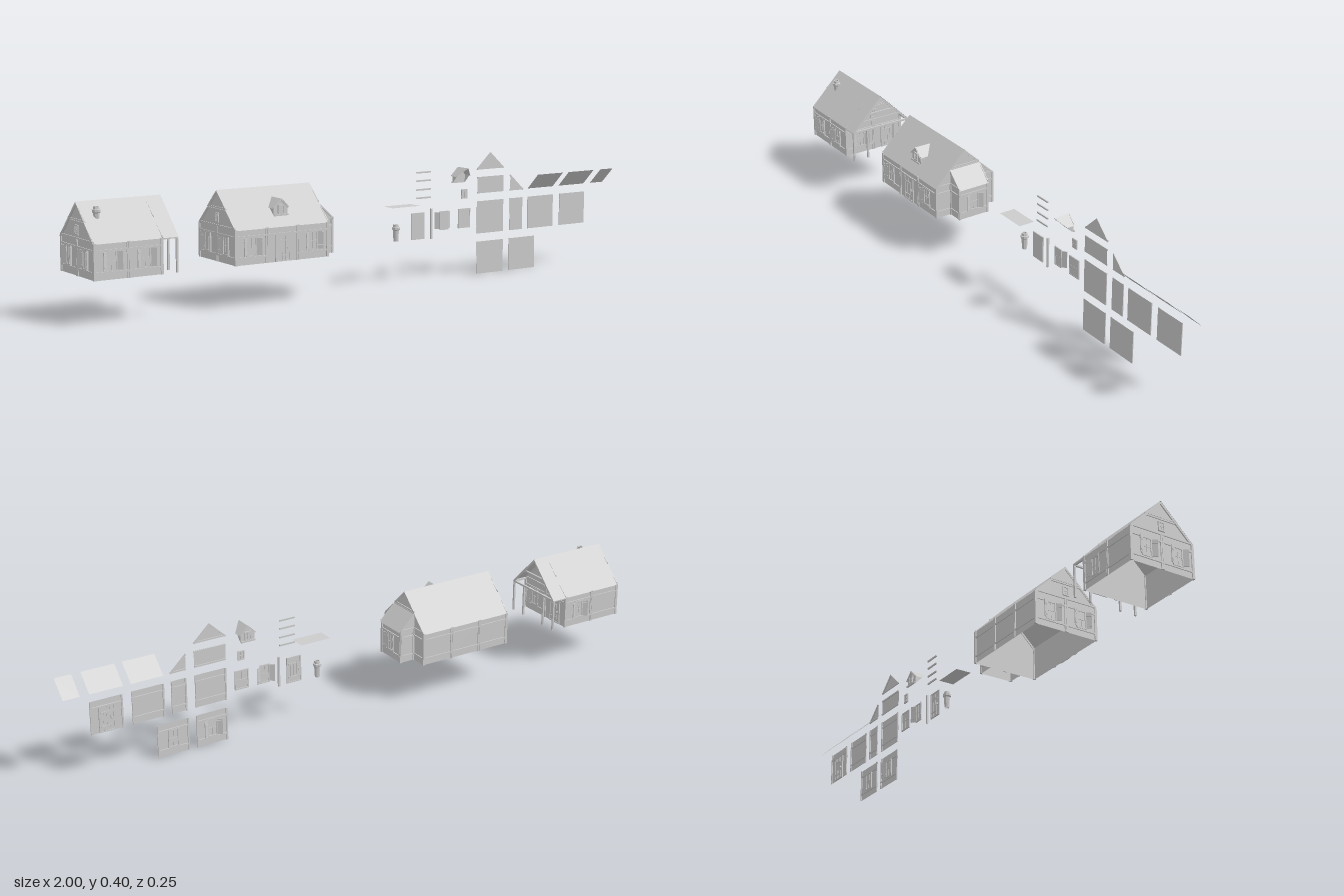
import * as THREE from 'three';

const mat = new THREE.MeshStandardMaterial({ color: 0xcccccc, side: THREE.DoubleSide, flatShading: true });
const W = 0.109, H = 0.108, HALF = W / 2, BASE = 0.137;

function mesh(geo, name, x = 0, y = 0, z = 0) {
  const m = new THREE.Mesh(geo, mat);
  m.name = name;
  m.position.set(x, y, z);
  return m;
}
const box = (name, w, h, d, x, y, z) => mesh(new THREE.BoxGeometry(w, h, d), name, x, y, z);

function group(name, ...parts) {
  const g = new THREE.Group();
  g.name = name;
  if (parts.length) g.add(...parts);
  return g;
}

function put(parent, obj, x, y, z, ry = 0) {
  obj.position.set(x, y, z);
  obj.rotation.y = ry;
  parent.add(obj);
  return obj;
}

// Flat outline panel in the xy plane
function panel(name, pts, z = 0) {
  const shape = new THREE.Shape(pts.map(p => new THREE.Vector2(p[0], p[1])));
  return mesh(new THREE.ShapeGeometry(shape), name, 0, 0, z);
}

// Flat four-cornered sheet
function sheet(name, a, b, c, d) {
  const g = new THREE.BufferGeometry();
  g.setAttribute('position', new THREE.Float32BufferAttribute([...a, ...b, ...c, ...a, ...c, ...d], 3));
  g.computeVertexNormals();
  return mesh(g, name);
}

// Beam between two points in the xy plane
function beam(name, x1, y1, x2, y2, z = 0.0015, t = 0.005, d = 0.003) {
  const b = box(name, Math.hypot(x2 - x1, y2 - y1), t, d, (x1 + x2) / 2, (y1 + y2) / 2, z);
  b.rotation.z = Math.atan2(y2 - y1, x2 - x1);
  return b;
}

// Rectangular border with its bottom at y
function frame(name, w, h, y, t = 0.004, d = 0.004) {
  const g = group(name);
  for (const s of [-1, 1]) {
    g.add(box(name, t, h, d, s * (w - t) / 2, y + h / 2, d / 2));
    g.add(box(name, w, t, d, 0, y + h / 2 + s * (h - t) / 2, d / 2));
  }
  return g;
}

// Window with glazing bars and optional open shutters
function windowUnit(w, h, y, shutters) {
  const g = group('window', frame('windowFrame', w, h, y));
  g.add(box('windowPane', w, h, 0.001, 0, y + h / 2, 0.001));
  g.add(box('glazingBar', 0.002, h, 0.003, 0, y + h / 2, 0.0015));
  g.add(box('glazingBar', w, 0.002, 0.003, 0, y + h / 2, 0.0015));
  if (shutters) for (const s of [-1, 1]) {
    const hinge = put(g, group('shutter'), s * w / 2, y + h / 2, 0.003, -s * 0.6);
    hinge.add(box('shutterBoard', w / 2, h * 0.9, 0.002, s * w / 4, 0, 0));
    for (const k of [-1, 1]) hinge.add(box('shutterBatten', w / 2, 0.004, 0.003, s * w / 4, k * h * 0.28, 0.0005));
  }
  return g;
}

// Plank door in a frame
function doorUnit() {
  const g = group('door', frame('doorFrame', 0.052, 0.087, 0.001));
  g.add(box('doorBoard', 0.044, 0.083, 0.002, 0, 0.043, 0.001));
  for (const x of [-0.011, 0, 0.011]) g.add(box('plankJoint', 0.001, 0.08, 0.003, x, 0.042, 0.0015));
  for (const y of [0.02, 0.065]) g.add(box('doorHinge', 0.034, 0.004, 0.004, -0.004, y, 0.002));
  g.add(box('doorHandle', 0.003, 0.006, 0.007, 0.016, 0.042, 0.0035));
  return g;
}

// Timber-framed wall tile facing +z
function wall(kind = 'plain', w = W, h = H) {
  const g = group('wallTile', panel('plaster', [[-w / 2, 0], [w / 2, 0], [w / 2, h], [-w / 2, h]]));
  for (const s of [-1, 1]) g.add(beam('wallStud', s * (w / 2 - 0.003), 0, s * (w / 2 - 0.003), h));
  g.add(beam('topRail', -w / 2, h - 0.022, w / 2, h - 0.022));
  if (kind !== 'door') g.add(beam('bottomRail', -w / 2, 0.022, w / 2, 0.022));
  if (kind === 'window') g.add(windowUnit(0.034, 0.06, 0.025, true));
  if (kind === 'smallWindow') g.add(windowUnit(0.036, 0.06, 0.025, false));
  if (kind === 'door') g.add(doorUnit());
  return g;
}

const halfWall = (w = W) => group('halfHeightWall',
  panel('plaster', [[-w / 2, 0], [w / 2, 0], [w / 2, HALF], [-w / 2, HALF]]),
  beam('bottomRail', -w / 2, 0.003, w / 2, 0.003), beam('topRail', -w / 2, HALF - 0.003, w / 2, HALF - 0.003));

const gableTop = () => group('gableTop',
  panel('plaster', [[-HALF, 0], [HALF, 0], [0, HALF]]),
  beam('tieBeam', -HALF, 0.003, HALF, 0.003),
  beam('rafter', -HALF, 0, 0, HALF - 0.003), beam('rafter', HALF, 0, 0, HALF - 0.003));

// Right-angled gable corner, upright edge at x = 0
function gableCorner(s) {
  return group('gableCorner', panel('plaster', [[0, 0], [s * HALF, 0], [0, HALF]]),
    beam('rafter', 0, HALF - 0.003, s * HALF, 0), beam('bottomRail', 0, 0.003, s * HALF, 0.003));
}

function gable() {
  const g = group('gable');
  put(g, halfWall(), 0, 0, 0);
  put(g, gableTop(), 0, HALF, 0);
  for (const s of [-1, 1]) put(g, gableCorner(s), s * HALF, 0, 0);
  put(g, windowUnit(0.022, 0.03, 0, false), 0, 0.012, 0);
  return g;
}

// Gabled dormer facing +z, front at z = 0
function dormer() {
  const w = 0.025, e = 0.026, top = 0.05, deep = 0.056;
  const g = group('dormer', panel('dormerFront', [[-w, 0], [w, 0], [w, e], [0, top], [-w, e]], -0.003));
  for (const s of [-1, 1]) {
    g.add(sheet('dormerRoof', [0, top + 0.002, 0.002], [s * 0.029, e - 0.003, 0.002], [s * 0.029, e - 0.003, -deep / 2], [0, top + 0.002, -deep]));
    g.add(sheet('dormerCheek', [s * w, 0, -0.003], [s * w, e, -0.003], [s * w, e, -0.029], [s * w, 0, -0.003]));
    g.add(beam('dormerRafter', s * 0.027, e - 0.002, 0, top, -0.0015));
  }
  g.add(beam('dormerSill', -w, 0.002, w, 0.002));
  put(g, windowUnit(0.022, 0.028, 0, false), 0, 0.005, -0.002);
  return g;
}

// Tapered octagonal chimney pot with a cap
function chimney() {
  const pts = [[0.008, 0], [0.010, 0.036], [0.0135, 0.039], [0.0135, 0.046], [0.010, 0.047], [0.009, 0.055], [0.006, 0.055], [0.006, 0.03], [0, 0.03]];
  return mesh(new THREE.LatheGeometry(pts.map(p => new THREE.Vector2(...p)), 8), 'chimney');
}

// Pitched roof over x1..x2 with rafters at both ends
function roof(x1, x2) {
  const g = group('roof'), top = 0.355, eave = 0.243, z = 0.112;
  for (const s of [-1, 1]) {
    g.add(sheet('roofSlope', [x1, eave, s * z], [x2, eave, s * z], [x2, top, 0], [x1, top, 0]));
    for (const x of [x1 + 0.002, x2 - 0.002]) {
      const r = put(g, group('endRafter'), x, 0, 0, Math.PI / 2);
      r.add(beam('endRafter', s * 0.108, eave - 0.001, 0, top - 0.006, 0, 0.006, 0.004));
    }
  }
  return g;
}

// House body: lists of tile kinds for each side; null leaves a gap
function houseBody(name, x1, front, back, left, right) {
  const g = group(name), n = front.length, x2 = x1 + n * W, Z = W;
  front.forEach((k, i) => put(g, wall(k), x1 + (i + 0.5) * W, BASE, Z));
  back.forEach((k, i) => put(g, wall(k), x1 + (i + 0.5) * W, BASE, -Z, Math.PI));
  left.forEach((k, i) => put(g, wall(k), x2, BASE, (0.5 - i) * W, Math.PI / 2));
  right.forEach((k, i) => put(g, wall(k), x1, BASE, (0.5 - i) * W, -Math.PI / 2));
  put(g, gable(), x2, BASE + H, 0, Math.PI / 2);
  put(g, gable(), x1, BASE + H, 0, -Math.PI / 2);
  for (const x of [x1, x2]) for (const z of [-Z, Z]) g.add(box('cornerPost', 0.006, H, 0.006, x, BASE + H / 2, z));
  return g;
}

export function createModel() {
  const model = group('houseKit');

  // Small house with an open porch
  const a = houseBody('porchHouse', -0.99, ['window', 'window'], ['plain', 'window'], ['window', 'door'], ['window', 'window']);
  a.add(roof(-0.994, -0.718));
  for (const z of [-0.107, -0.053, 0.053, 0.107]) a.add(box('porchPost', 0.006, H, 0.006, -0.722, BASE + H / 2, z));
  a.add(box('porchBeam', 0.006, 0.006, 0.216, -0.722, 0.242, 0));
  a.add(box('collarBeam', 0.005, 0.005, 0.108, -0.722, 0.297, 0));
  for (const z of [-0.107, 0.107]) a.add(box('porchPlate', 0.05, 0.006, 0.006, -0.746, 0.242, z));
  put(a, chimney(), -0.947, 0.287, 0.04);
  model.add(a);

  // Long house with a dormer and a lean-to
  const b = houseBody('longHouse', -0.526, ['window', 'door', 'window'], ['plain', 'plain', 'plain'], ['plain', 'plain'], ['window', 'window']);
  b.add(roof(-0.528, -0.197));
  put(b, dormer(), -0.353, 0.274, 0.088);
  const annex = group('leanTo');
  put(annex, wall('window'), -0.147, BASE, 0, Math.PI / 2);
  for (const s of [1, -1]) {
    const ry = s > 0 ? 0 : Math.PI;
    put(annex, wall('plain', 0.052), -0.173, BASE, s * HALF, ry);
    put(annex, gableCorner(s), -0.199, BASE + H, s * HALF, ry);
    annex.add(box('cornerPost', 0.005, H, 0.005, -0.147, BASE + H / 2, s * HALF));
  }
  annex.add(sheet('leanToRoof', [-0.199, 0.299, 0.056], [-0.142, 0.242, 0.056], [-0.142, 0.242, -0.056], [-0.199, 0.299, -0.056]));
  b.add(annex);
  model.add(b);

  // Loose wall and gable parts, facing -z
  const kit = group('looseParts');
  const loose = (obj, x, y, z = 0.004) => put(kit, obj, x, y, z, Math.PI);
  loose(wall('window'), 0.511, 0.004);
  loose(wall('smallWindow'), 0.645, 0.004);
  loose(wall(), 0.511, 0.139);
  loose(wall('plain', 0.053), 0.62, 0.139);
  loose(wall(), 0.724, 0.139);
  loose(wall('door'), 0.862, 0.139);
  loose(halfWall(), 0.511, 0.273);
  loose(gableCorner(-1), 0.594, 0.273);
  loose(gableTop(), 0.511, 0.352);

  // Loose openings, posts and trim
  loose(doorUnit(), 0.217, 0.139);
  loose(windowUnit(0.034, 0.062, 0, true), 0.322, 0.163);
  loose(windowUnit(0.048, 0.064, 0, false), 0.404, 0.163);
  loose(windowUnit(0.023, 0.031, 0, false), 0.404, 0.26);
  loose(dormer(), 0.377, 0.315, 0.004);
  put(kit, chimney(), 0.135, 0.14, -0.004);
  kit.add(box('loosePost', 0.006, 0.1, 0.006, 0.27, 0.187, 0.004));
  for (const y of [0.275, 0.302, 0.331, 0.358]) kit.add(box('looseBeam', 0.055, 0.005, 0.004, 0.239, y, 0.003));
  kit.add(sheet('flatRoofPart', [0.083, 0.258, 0.054], [0.19, 0.258, 0.054], [0.19, 0.258, 0], [0.083, 0.258, 0]));

  // Loose roof sheets, low edge at the back
  for (const [x1, x2] of [[0.672, 0.78], [0.805, 0.915], [0.945, 1]])
    kit.add(sheet('roofPart', [x1, 0.274, 0], [x1, 0.326, 0.054], [x2, 0.326, 0.054], [x2, 0.274, 0]));
  model.add(kit);

  // Stand the lowest part on the ground
  model.position.y = -new THREE.Box3().setFromObject(model).min.y;
  return model;
}
